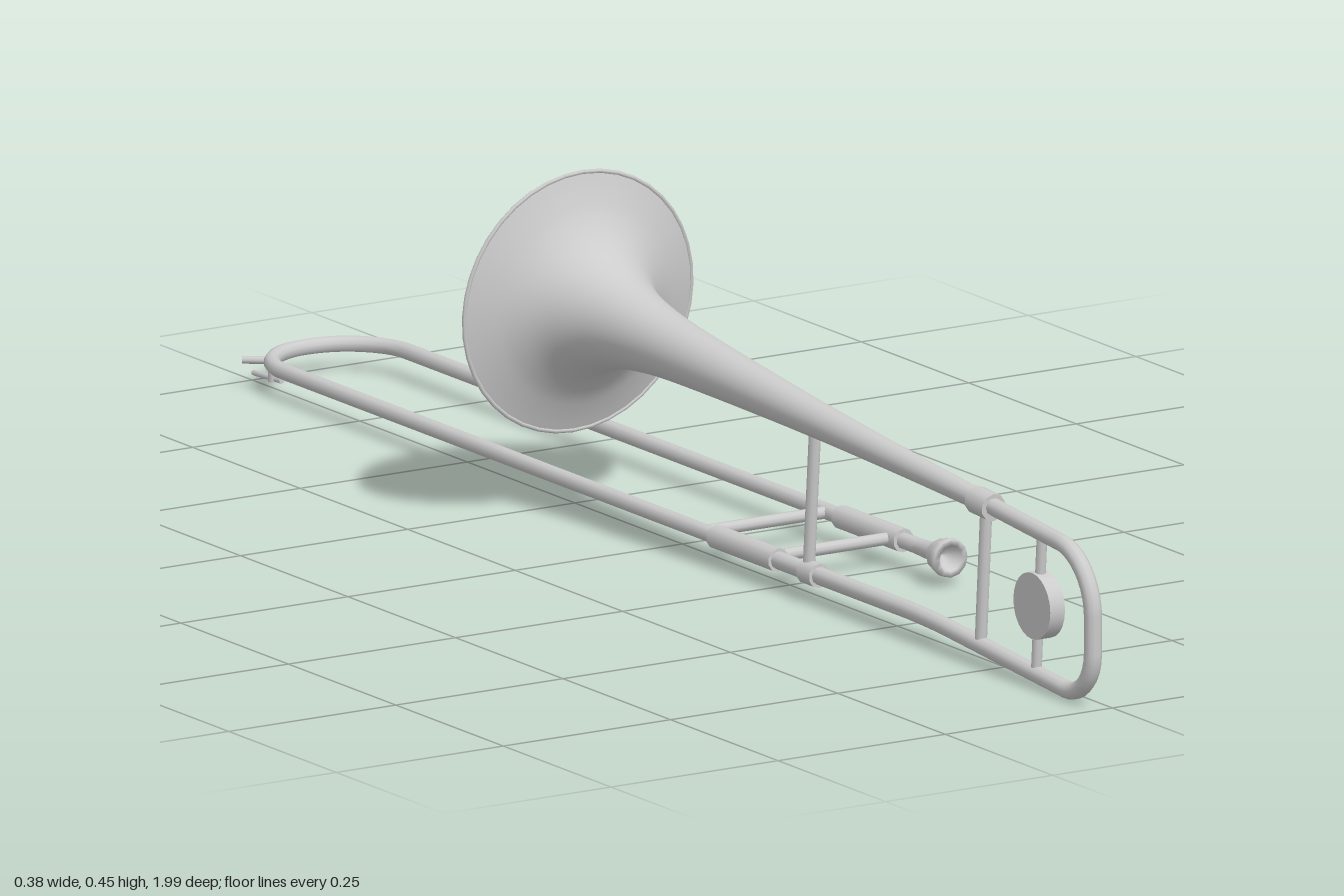
import * as THREE from 'three';

const V = (x, y, z) => new THREE.Vector3(x, y, z);
const metal = new THREE.MeshStandardMaterial({ color: 0xcccccc, side: THREE.DoubleSide });
const BX = -0.02, SX = 0.167, SY = 0.036; // bell plane, mouthpiece side, slide height

export function createModel() {
  const model = new THREE.Group();
  model.name = 'trombone';

  const add = (name, geometry) => {
    const mesh = new THREE.Mesh(geometry, metal);
    mesh.name = name;
    model.add(mesh);
    return mesh;
  };

  // straight rod between two points
  const rod = (name, a, b, r, sides = 10, r2 = r) => {
    const d = b.clone().sub(a);
    const mesh = add(name, new THREE.CylinderGeometry(r2, r, d.length(), sides));
    mesh.position.copy(a).add(b).multiplyScalar(0.5);
    mesh.quaternion.setFromUnitVectors(V(0, 1, 0), d.normalize());
    return mesh;
  };

  // bent pipe: corner points [point, bend length]
  const pipe = (name, corners, r, segments) => {
    const path = new THREE.CurvePath();
    let last = corners[0][0];
    for (let i = 1; i < corners.length; i++) {
      const [p, bend] = corners[i];
      if (i === corners.length - 1) {
        path.add(new THREE.LineCurve3(last, p));
        break;
      }
      const toward = (q) => p.clone().add(q.clone().sub(p).setLength(bend));
      const start = toward(corners[i - 1][0]), end = toward(corners[i + 1][0]);
      const k = 0.45;
      path.add(new THREE.LineCurve3(last, start));
      path.add(new THREE.CubicBezierCurve3(start, start.clone().lerp(p, 1 - k), end.clone().lerp(p, 1 - k), end));
      last = end;
    }
    return add(name, new THREE.TubeGeometry(path, segments, r, 10, false));
  };

  // lathe turned about an axis, profile as [radius, distance]
  const turned = (name, profile, origin, axis, sides) => {
    const points = profile.map(([r, d]) => new THREE.Vector2(r, d));
    const mesh = add(name, new THREE.LatheGeometry(points, sides));
    mesh.position.copy(origin);
    mesh.quaternion.setFromUnitVectors(V(0, 1, 0), axis);
    return mesh;
  };

  // bell, tilted slightly upward toward its mouth
  const neck = V(BX, 0.212, 0.75), mouth = V(BX, 0.273, -0.212);
  const axis = mouth.clone().sub(neck).normalize();
  const length = neck.distanceTo(mouth);
  const flare = [[0.013, 0], [0.017, 0.2], [0.023, 0.4], [0.031, 0.58], [0.039, 0.72], [0.046, 0.79],
    [0.056, 0.845], [0.07, 0.885], [0.09, 0.917], [0.117, 0.94], [0.145, 0.954], [0.171, length]];
  const smooth = new THREE.SplineCurve(flare.map(([r, d]) => new THREE.Vector2(r, d))).getPoints(44);
  turned('bell', smooth.map((p) => [p.x, p.y]), neck, axis, 40);
  const rim = add('bellRim', new THREE.TorusGeometry(0.17, 0.003, 6, 40));
  rim.position.copy(mouth);
  rim.quaternion.setFromUnitVectors(V(0, 0, 1), axis);
  rod('bellFerrule', V(BX, 0.2105, 0.755), V(BX, 0.213, 0.715), 0.018);

  // tuning bow joining the bell to the slide
  pipe('tuningBow', [
    [V(BX, 0.212, 0.75)], [V(BX, 0.193, 0.986), 0.075], [V(BX, 0.006, 0.986), 0.065],
    [V(BX, SY, 0.6), 0.05], [V(BX, SY, 0.25)],
  ], 0.0115, 90);

  // hand slide with its rounded far end
  pipe('slide', [
    [V(BX, SY, 0.26)], [V(BX, SY, -0.987), 0.09], [V(SX, SY, -0.987), 0.09], [V(SX, SY, 0.3)],
  ], 0.0105, 200);

  // sleeves and cross braces
  for (const x of [BX, SX]) rod('slideSleeve', V(x, SY, 0.11), V(x, SY, 0.255), 0.0155);
  rod('slideFerrule', V(BX, SY, 0.32), V(BX, SY, 0.35), 0.016);
  for (const z of [0.08, 0.235]) rod('slideBrace', V(BX, SY, z), V(SX, SY, z), 0.008);

  // upright braces between bell and slide
  rod('frontBrace', V(BX, 0.026, 0.725), V(BX, 0.206, 0.738), 0.008);
  rod('rearBrace', V(BX, SY, 0.325), V(BX, 0.225, 0.34), 0.008);

  // counterweight disc on its post
  rod('weightPost', V(BX, 0.016, 0.854), V(BX, 0.203, 0.868), 0.007);
  rod('counterweight', V(BX - 0.011, 0.107, 0.861), V(BX + 0.011, 0.107, 0.861), 0.043, 24);

  // mouthpiece with hollow cup
  turned('mouthpiece', [
    [0.0105, 0], [0.012, 0.035], [0.021, 0.05], [0.021, 0.06], [0.025, 0.064],
    [0.025, 0.075], [0.017, 0.075], [0.013, 0.06], [0, 0.052],
  ], V(SX, SY, 0.29), V(0, 0, 1), 12);

  // water key and bumper at the far end of the slide
  rod('waterKeyLever', V(BX, 0.023, -0.9), V(BX, 0.02, -0.965), 0.004, 6);
  rod('waterKeyCap', V(BX, 0.018, -0.92), V(BX, SY, -0.92), 0.007, 8);
  rod('waterKeyPad', V(BX - 0.011, SY, -0.975), V(BX + 0.015, SY, -0.955), 0.005, 8);

  return model;
}
